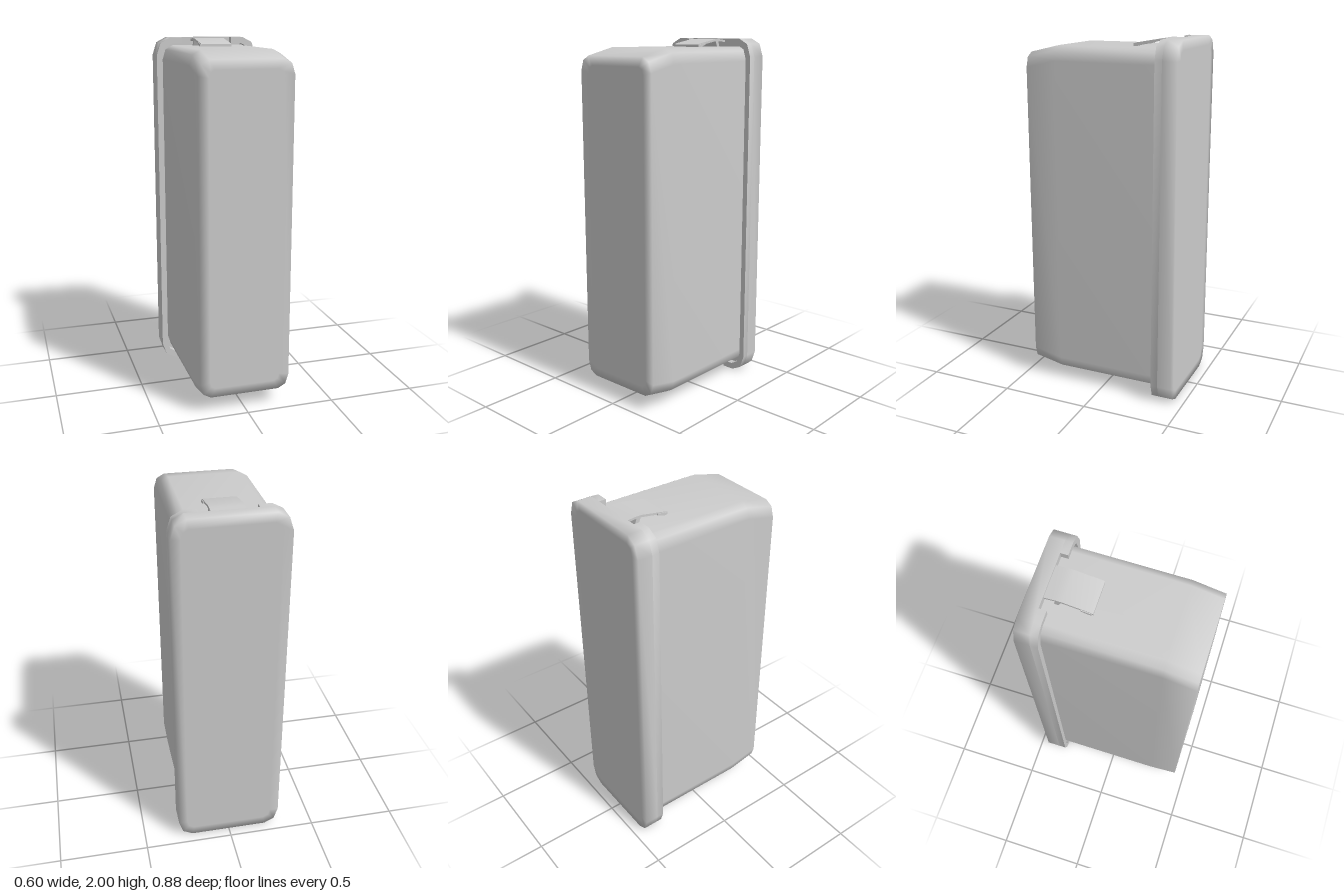
import * as THREE from 'three';
import { toCreasedNormals } from 'three/addons/utils/BufferGeometryUtils.js';

const grey = new THREE.MeshStandardMaterial({ color: 0xcccccc, side: THREE.DoubleSide });

// Rounded rectangle outline, counter-clockwise, two facets per corner
function outline(w, y0, y1, rx, ry) {
  const pts = [];
  const corners = [[1, y1 - ry], [-1, y1 - ry], [-1, y0 + ry], [1, y0 + ry]];
  corners.forEach(([s, cy], q) => {
    for (let i = 0; i <= 2; i++) {
      const a = (q + i / 2) * Math.PI / 2;
      pts.push(new THREE.Vector2(s * (w - rx) + rx * Math.cos(a), cy + ry * Math.sin(a)));
    }
  });
  return pts;
}

// Smooth skin through rings ordered back to front; a repeated ring makes a sharp edge
function loft(rings) {
  const pos = [], idx = [], n = rings[0].pts.length;
  for (const { pts, z } of rings) for (const p of pts) pos.push(p.x, p.y, z);
  for (let k = 0; k < rings.length - 1; k++) {
    for (let i = 0; i < n; i++) {
      const a = k * n + i, b = k * n + (i + 1) % n;
      idx.push(a, b, b + n, a, b + n, a + n);
    }
  }
  // end caps
  const last = (rings.length - 1) * n;
  pos.push(0, 1, rings[0].z, 0, 1, rings[rings.length - 1].z);
  for (let i = 0; i < n; i++) {
    const j = (i + 1) % n;
    idx.push(j, i, last + n, last + i, last + j, last + n + 1);
  }
  const g = new THREE.BufferGeometry();
  g.setAttribute('position', new THREE.Float32BufferAttribute(pos, 3));
  g.setIndex(idx);
  g.computeVertexNormals();
  return g;
}

// Side profile given as [z, y] points, extruded along x and centred on x
function profile(points, width, x = 0) {
  const shape = new THREE.Shape(points.map(([z, y]) => new THREE.Vector2(z, y)));
  const g = new THREE.ExtrudeGeometry(shape, { depth: width, bevelEnabled: false });
  g.translate(0, 0, -width / 2);
  g.rotateY(-Math.PI / 2);
  g.translate(x, 0, 0);
  return toCreasedNormals(g, 0.5);
}

export function createModel() {
  const model = new THREE.Group();
  const add = (name, geometry, parent = model) => {
    const m = new THREE.Mesh(geometry, grey);
    m.name = name;
    parent.add(m);
    return m;
  };

  // Case body, its top and bottom sloping in towards the front
  const section = outline(0.257, 0.055, 1.955, 0.06, 0.08);
  add('body', loft([
    { pts: section, z: -0.37 },
    { pts: section, z: -0.37 },
    { pts: section, z: 0.27 },
    { pts: outline(0.257, 0.09, 1.915, 0.06, 0.08), z: 0.44 },
    { pts: outline(0.2, 0.14, 1.865, 0.03, 0.04), z: 0.44 },
  ]));

  // Back plate
  const rimOuter = outline(0.3, 0, 2, 0.08, 0.1);
  add('backPlate', loft([
    { pts: outline(0.25, 0.05, 1.95, 0.04, 0.05), z: -0.44 },
    { pts: rimOuter, z: -0.44 },
    { pts: rimOuter, z: -0.36 },
    { pts: rimOuter, z: -0.36 },
  ]));

  // Rim halves in front of the plate, leaving a notch at top and bottom
  const rimInner = outline(0.27, 0.035, 1.965, 0.06, 0.08);
  const half = (pts) => pts.filter((p) => p.x > 0.15).sort((a, b) => b.y - a.y);
  const loop = [
    new THREE.Vector2(0.15, 2), ...half(rimOuter), new THREE.Vector2(0.15, 0),
    new THREE.Vector2(0.15, 0.035), ...half(rimInner).reverse(), new THREE.Vector2(0.15, 1.965),
  ];
  for (const [name, s] of [['leftRim', 1], ['rightRim', -1]]) {
    const shape = new THREE.Shape(loop.map((p) => new THREE.Vector2(s * p.x, p.y)));
    const g = new THREE.ExtrudeGeometry(shape, { depth: 0.04, bevelEnabled: false });
    g.translate(0, 0, -0.36);
    add(name, toCreasedNormals(g, 0.9));
  }

  // Spring latch on top: bent plate, support leg and small cheeks
  const latch = new THREE.Group();
  latch.name = 'latch';
  model.add(latch);
  add('latchPlate', profile([
    [-0.37, 1.978], [-0.31, 1.984], [-0.27, 1.984], [-0.135, 1.962], [-0.13, 1.952],
    [-0.118, 1.952], [-0.118, 1.968], [-0.14, 1.974], [-0.27, 1.996], [-0.31, 1.996], [-0.37, 1.99],
  ], 0.176), latch);
  add('latchLeg', profile([
    [-0.315, 1.94], [-0.295, 1.94], [-0.275, 1.986], [-0.3, 1.986],
  ], 0.176), latch);
  for (const s of [-1, 1]) {
    add('latchCheek', profile([
      [-0.178, 1.966], [-0.178, 1.976], [-0.125, 1.967], [-0.125, 1.95],
    ], 0.006, s * 0.089), latch);
  }
  return model;
}
